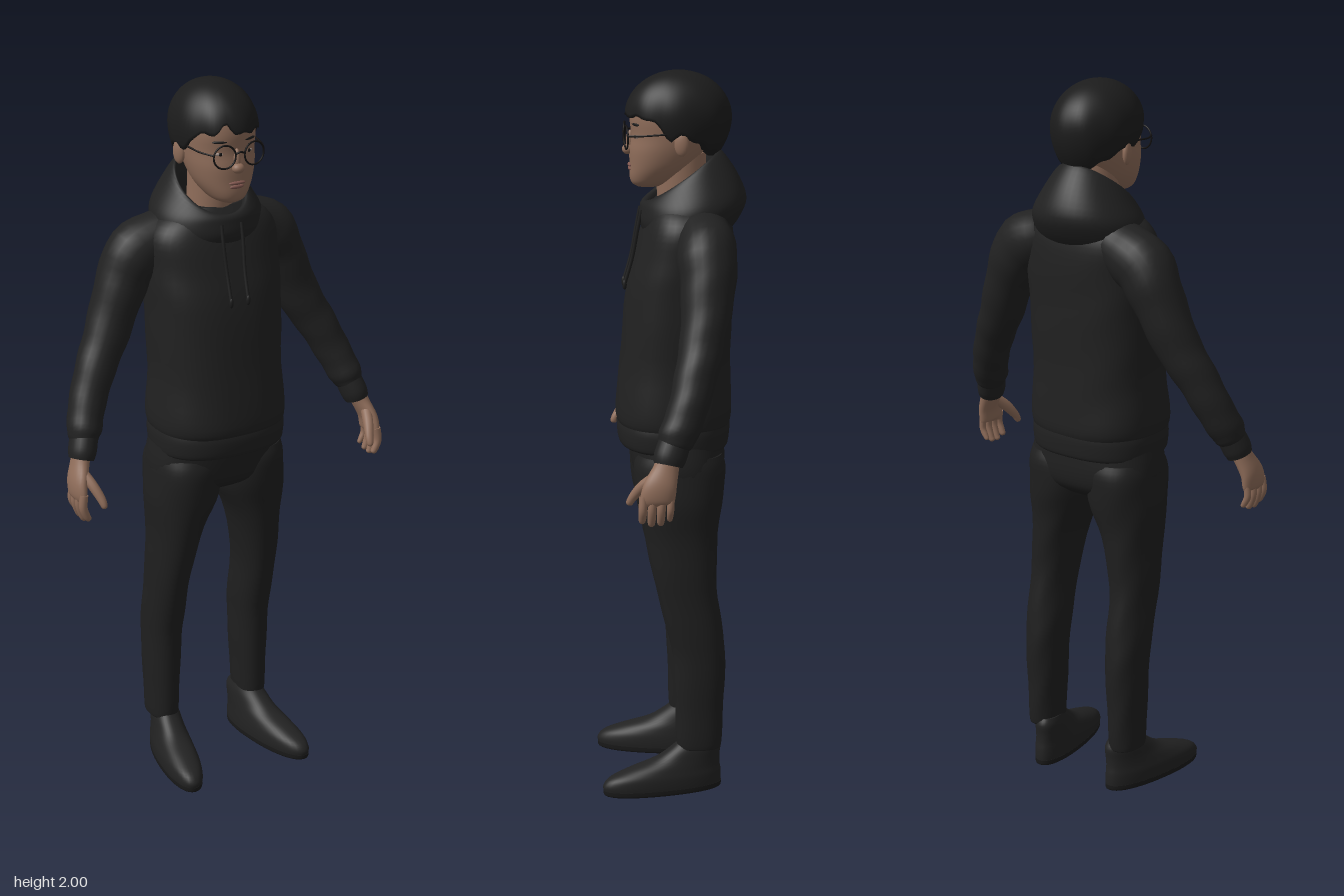
import * as THREE from 'three';

const mat = (name, color) => {
  const m = new THREE.MeshStandardMaterial({ color });
  m.name = name;
  return m;
};

// Catmull-Rom resampling of rows of numbers
function smoothRows(rows, steps) {
  const out = [], at = i => rows[Math.min(Math.max(i, 0), rows.length - 1)];
  for (let i = 0; i < rows.length - 1; i++) {
    for (let k = 0; k < steps; k++) {
      const t = k / steps;
      out.push(at(i).map((b, c) => {
        const a = at(i - 1)[c], d = at(i + 1)[c], e = at(i + 2)[c];
        return b + 0.5 * t * (d - a + t * (2 * a - 5 * b + 4 * d - e + t * (3 * (b - d) + e - a)));
      }));
    }
  }
  out.push(at(rows.length - 1));
  return out;
}

// Skin over closed rings of points, with optional end caps
function skin(rings, caps = true) {
  const n = rings[0].length, pos = [], idx = [];
  rings.forEach(r => r.forEach(p => pos.push(p.x, p.y, p.z)));
  for (let i = 0; i < rings.length - 1; i++) {
    for (let j = 0; j < n; j++) {
      const a = i * n + j, b = i * n + (j + 1) % n;
      idx.push(a, b, b + n, a, b + n, a + n);
    }
  }
  if (caps) [rings[0], rings[rings.length - 1]].forEach((ring, end) => {
    const c = new THREE.Vector3();
    ring.forEach(p => c.addScaledVector(p, 1 / n));
    const base = pos.length / 3;
    ring.forEach(p => pos.push(p.x, p.y, p.z));
    pos.push(c.x, c.y, c.z);
    for (let j = 0; j < n; j++) {
      const k = (j + 1) % n;
      idx.push(base + n, base + (end ? j : k), base + (end ? k : j));
    }
  });
  const g = new THREE.BufferGeometry();
  g.setAttribute('position', new THREE.Float32BufferAttribute(pos, 3));
  g.setIndex(idx);
  g.computeVertexNormals();
  return g;
}

const circle = (n, f) => Array.from({ length: n }, (_, j) => f(j / n * Math.PI * 2));
const power = (v, e) => Math.sign(v) * Math.abs(v) ** e;

// Horizontal superellipse rings; row = [y, centre x, half width, front z, back z]
function loft(rows, { n = 2.2, side = 1, skew = 0, fold = 0, steps = 4 } = {}) {
  return skin(smoothRows(rows, steps).map(([y, cx, w, zf, zb]) => circle(40, a => {
    const f = 1 + fold * Math.sin(y * 38 + 3 * Math.sin(a) + Math.cos(2 * a));
    const z = (zf + zb) / 2 + power(Math.cos(a), 2 / n) * (zf - zb) / 2 * f;
    return new THREE.Vector3(side * (cx + skew * z) + power(Math.sin(a), 2 / n) * w * f, y, z);
  })));
}

// Limb along a path; row = [x, y, z, radius across, radius front to back]
function limb(rows, { side = 1, fold = 0, sides = 24, steps = 5 } = {}) {
  const pts = smoothRows(rows, steps);
  const at = i => new THREE.Vector3(side * pts[i][0], pts[i][1], pts[i][2]);
  return skin(pts.map((p, i) => {
    const t = at(Math.min(i + 1, pts.length - 1)).sub(at(Math.max(i - 1, 0))).normalize();
    const s = t.clone().cross(new THREE.Vector3(0, 0, 1)).normalize(), f = s.clone().cross(t);
    return circle(sides, a => {
      const w = 1 + fold * Math.sin(i * 1.3 + 2 * Math.cos(a));
      return at(i).addScaledVector(s, Math.sin(a) * p[3] * w).addScaledVector(f, Math.cos(a) * p[4] * w);
    });
  }));
}

export function createModel() {
  const root = new THREE.Group();
  root.name = 'standingMan';
  const skinMat = mat('skin', 0x8f6d5a), lipMat = mat('lips', 0x825850), hairMat = mat('hair', 0x1c1c1c);
  const hoodieMat = mat('hoodie', 0x212121), trouserMat = mat('trousers', 0x1f1f1f);
  const shoeMat = mat('shoes', 0x222222), soleMat = mat('soles', 0x191919);
  const frameMat = mat('glassesFrame', 0x141212), eyeMat = mat('eyeWhite', 0xa09088);
  const add = (name, geo, m) => {
    const mesh = new THREE.Mesh(geo, m);
    mesh.name = name;
    root.add(mesh);
    return mesh;
  };
  const blob = (name, m, p, s) => {
    const mesh = add(name, new THREE.SphereGeometry(1, 20, 14), m);
    mesh.position.set(...p);
    mesh.scale.set(...s);
    return mesh;
  };
  const tube = (name, m, pts, r) => add(name, new THREE.TubeGeometry(
    new THREE.CatmullRomCurve3(pts.map(p => new THREE.Vector3(...p))), 16, r, 8), m);

  // Hoodie body with gathered waistband
  add('hoodieBody', loft([
    [1.04, 0, .184, .146, -.157], [1.075, 0, .191, .155, -.164], [1.2, 0, .182, .142, -.16],
    [1.4, 0, .188, .124, -.165], [1.5, 0, .19, .1, -.168], [1.58, 0, .19, .08, -.165],
    [1.63, 0, .155, .06, -.148], [1.665, 0, .09, .035, -.125]], { n: 2.5, fold: .006 }), hoodieMat);
  add('hoodieWaistband', loft([
    [.98, 0, .178, .13, -.148], [.99, 0, .185, .146, -.155], [1.03, 0, .188, .151, -.159],
    [1.055, 0, .184, .147, -.157]], { n: 2.5 }), hoodieMat);

  // Hood lying on the shoulders; row = [half width, front z, back z, front y, back y]
  const hoodRows = [
    [.155, .078, -.155, 1.57, 1.57], [.158, .088, -.185, 1.6, 1.61], [.152, .086, -.203, 1.63, 1.66],
    [.128, .083, -.178, 1.645, 1.725], [.1, .074, -.135, 1.652, 1.785], [.088, .06, -.12, 1.645, 1.777],
    [.074, .045, -.095, 1.61, 1.69], [.06, .02, -.08, 1.58, 1.62]];
  add('hood', skin(smoothRows(hoodRows, 4).map(([w, zf, zb, yf, yb]) => circle(48, a => {
    const b = (1 - Math.cos(a)) / 2;
    return new THREE.Vector3(Math.sin(a) * w, yf + (yb - yf) * b, zf + (zb - zf) * b);
  })), false), hoodieMat);

  // Trouser seat
  add('trouserSeat', loft([
    [.86, 0, .12, .06, -.1], [.89, 0, .185, .1, -.135], [.94, 0, .197, .113, -.145],
    [1.02, 0, .182, .12, -.14]], { n: 2.5 }), trouserMat);

  // Head and neck
  add('neck', limb([[0, 1.58, -.045, .07, .07], [0, 1.66, -.03, .064, .068], [0, 1.78, -.025, .062, .068]]), skinMat);
  add('head', loft([
    [1.69, 0, .022, .092, .035], [1.7, 0, .044, .107, .005], [1.72, 0, .062, .113, -.03],
    [1.75, 0, .079, .113, -.06], [1.79, 0, .091, .113, -.09], [1.83, 0, .096, .108, -.11],
    [1.88, 0, .098, .112, -.12], [1.93, 0, .088, .098, -.11], [1.97, 0, .05, .05, -.06]]), skinMat);
  blob('nose', skinMat, [0, 1.79, .117], [.017, .014, .016]);
  blob('noseBridge', skinMat, [0, 1.812, .11], [.009, .03, .012]);
  blob('upperLip', lipMat, [0, 1.749, .112], [.025, .005, .006]);
  blob('lowerLip', lipMat, [0, 1.739, .111], [.021, .006, .006]);

  // Hair cap with an uneven lower edge
  const hairEdge = a => {
    const c = Math.cos(a), d = a > Math.PI ? a - 2 * Math.PI : a;
    const low = c > 0 ? 1.84 + .042 * Math.min(1, c * 1.5) : 1.84 + .068 * c;
    const burn = -.03 * Math.exp(-(((Math.abs(d) - 1.35) / .16) ** 2));
    return low + burn + .025 * Math.exp(-(((d + .32) / .16) ** 2)) + .004 * Math.sin(13 * a);
  };
  const hairRing = (k, inset) => circle(64, a => {
    const y = 2 - (2 - hairEdge(a)) * (1 - k) ** 1.6, t = (2 - y) / .12;
    let r = t < 1 ? Math.sqrt(1 - (1 - t) ** 2) : 1 - .32 * (t - 1) ** 2;
    r *= inset * (1 + .012 * Math.sin(9 * a + 20 * y) * Math.min(1, t));
    return new THREE.Vector3(Math.sin(a) * .112 * r, y, -.018 + Math.cos(a) * .143 * r);
  });
  const hairRings = [hairRing(0, .8)];
  for (let i = 0; i < 22; i++) hairRings.push(hairRing(i / 22, 1));
  add('hair', skin([...hairRings, hairRing(.995, 1)]), hairMat);

  // Glasses bridge
  tube('glassesBridge', frameMat, [[-.013, 1.832, .127], [0, 1.837, .13], [.013, 1.832, .127]], .0025);

  for (const s of [1, -1]) {
    const side = s > 0 ? 'left' : 'right';

    // Face details
    blob(side + 'Ear', skinMat, [s * .1, 1.815, -.02], [.011, .033, .02]).rotation.y = s * -.3;
    blob(side + 'Eye', eyeMat, [s * .042, 1.828, .0965], [.015, .005, .004]).rotation.y = s * .3;
    blob(side + 'Iris', frameMat, [s * .042, 1.828, .099], [.0055, .005, .003]);
    blob(side + 'Brow', hairMat, [s * .043, 1.861, .099], [.022, .0045, .005]).rotation.y = s * .35;
    const rim = add(side + 'GlassesRim', new THREE.TorusGeometry(.031, .0025, 8, 32), frameMat);
    rim.position.set(s * .044, 1.827, .124);
    rim.rotation.y = s * .12;
    tube(side + 'GlassesTemple', frameMat,
      [[s * .075, 1.834, .12], [s * .092, 1.836, .08], [s * .102, 1.838, 0], [s * .104, 1.82, -.03]], .0025);

    // Drawstring with a thicker tip
    tube(side + 'Drawstring', hairMat, [[s * .03, 1.63, .083], [s * .03, 1.58, .093], [s * .027, 1.5, .108], [s * .026, 1.43, .128]], .005);
    blob(side + 'DrawstringTip', hairMat, [s * .026, 1.425, .129], [.006, .014, .006]);

    // Sleeve and cuff
    add(side + 'Sleeve', limb([
      [.42, 1.075, .025, .036, .041], [.413, 1.1, .015, .046, .05], [.39, 1.16, -.012, .05, .052],
      [.35, 1.245, -.038, .055, .056], [.3, 1.335, -.062, .062, .062], [.25, 1.45, -.078, .07, .072],
      [.2, 1.535, -.08, .083, .08], [.11, 1.58, -.075, .07, .075]], { side: s, fold: .02 }), hoodieMat);
    add(side + 'Cuff', limb([[.436, 1.03, .04, .033, .038], [.43, 1.05, .035, .037, .043],
      [.418, 1.085, .022, .037, .042]], { side: s }), hoodieMat);

    // Hand
    add(side + 'Palm', limb([
      [.432, 1.055, .037, .025, .03], [.445, 1.02, .047, .023, .034], [.46, .98, .062, .021, .043],
      [.463, .945, .07, .018, .045], [.461, .932, .07, .01, .038]], { side: s }), skinMat);
    for (let i = 0; i < 4; i++) {
      const z = .034 + i * .024, tip = [.884, .874, .872, .88][i], r = i ? .0115 : .0095;
      add(side + 'Finger' + (i + 1), limb([
        [.463, .955, z, r, r], [.467, .92, z + .002, r, r], [.458, tip + .014, z + .003, r * .9, r * .9],
        [.451, tip + .003, z + .003, r * .65, r * .65], [.449, tip, z + .003, .001, .001]],
        { side: s, sides: 12 }), skinMat);
    }
    add(side + 'Thumb', limb([
      [.448, 1.005, .07, .014, .016], [.435, .975, .105, .014, .016], [.424, .945, .13, .012, .012],
      [.42, .925, .141, .008, .009], [.419, .92, .143, .001, .001]], { side: s, sides: 12 }), skinMat);

    // Trouser leg
    add(side + 'TrouserLeg', loft([
      [.125, .145, .038, -.01, -.125], [.14, .145, .042, -.004, -.13], [.25, .144, .047, 0, -.135],
      [.38, .143, .052, .006, -.14], [.46, .142, .054, .02, -.134], [.6, .14, .056, .054, -.115],
      [.75, .123, .073, .085, -.12], [.85, .104, .099, .104, -.134], [.93, .1, .097, .112, -.143],
      [.97, .1, .088, .1, -.13]], { side: s, fold: .012 }), trouserMat);

    // Shoe, toes turned slightly out
    add(side + 'Shoe', loft([
      [.014, .148, .053, .203, -.13], [.03, .148, .054, .204, -.131], [.05, .148, .053, .185, -.13],
      [.07, .147, .049, .135, -.127], [.095, .146, .044, .06, -.127], [.125, .146, .04, .012, -.13],
      [.145, .146, .034, -.01, -.12]], { side: s, skew: .16 }), shoeMat);
    add(side + 'Sole', loft([[0, .148, .05, .197, -.127], [.004, .148, .053, .203, -.131],
      [.016, .148, .0535, .2045, -.132]], { side: s, skew: .16 }), soleMat);
  }
  return root;
}
